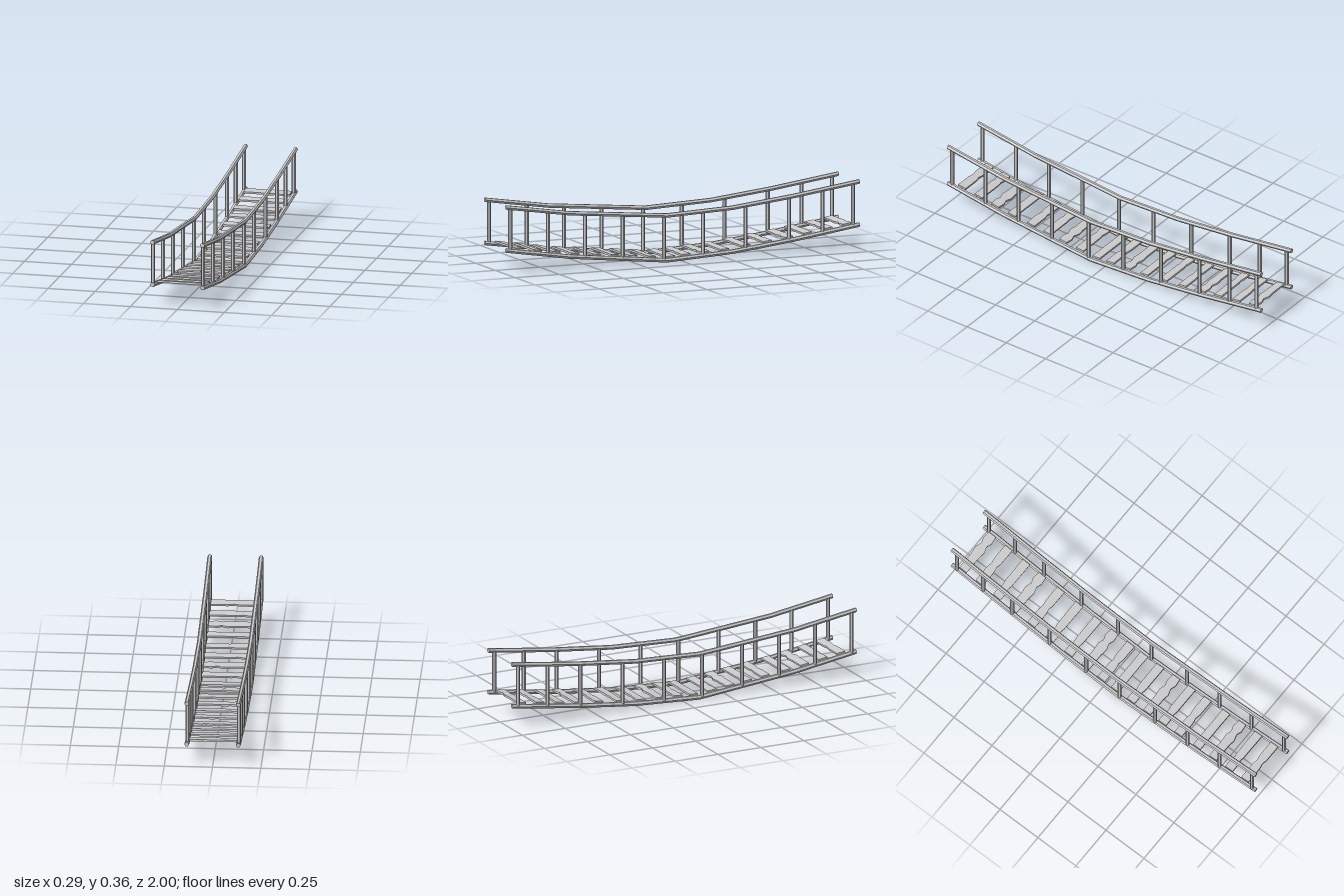
import * as THREE from 'three';

const material = new THREE.MeshStandardMaterial({ color: 0xcccccc, flatShading: true });

// Sagging rail lines as [z, y], from back to front
const LOWER = [[-1, 0.125], [-0.62, 0.071], [-0.28, 0.032], [0.09, 0.012], [0.64, 0.069], [1, 0.125]];
const UPPER = [[-1, 0.351], [-0.62, 0.299], [-0.28, 0.262], [0.09, 0.247], [0.64, 0.296], [1, 0.351]];
const RAIL_X = 0.133;

// Height and slope of a rail line at a given z
function sample(line, z) {
  let i = 0;
  while (i < line.length - 2 && z > line[i + 1][0]) i++;
  const [z0, y0] = line[i], [z1, y1] = line[i + 1];
  const slope = (y1 - y0) / (z1 - z0);
  return { y: y0 + slope * (z - z0), slope };
}

// Six-sided beam whose rings are moved onto the rail line
function railGeometry(line) {
  const n = line.length - 1;
  const geo = new THREE.CylinderGeometry(0.0125, 0.0125, 2, 6, n);
  geo.rotateY(Math.PI / 6).rotateX(Math.PI / 2);
  const p = geo.attributes.position;
  for (let i = 0; i < p.count; i++) {
    const [z, y] = line[Math.round((p.getZ(i) + 1) / 2 * n)];
    p.setY(i, p.getY(i) + y);
    p.setZ(i, z);
  }
  geo.computeVertexNormals();
  return geo;
}

// Half-width outlines along x for the worn planks
const PLANK_EDGES = {
  centreNotch: [[-0.123, 0.024], [-0.035, 0.024], [-0.018, 0.022], [0, 0.018], [0.018, 0.022], [0.035, 0.024], [0.123, 0.024]],
  sideNotch: [[-0.123, 0.024], [-0.02, 0.024], [0.02, 0.029], [0.052, 0.018], [0.08, 0.028], [0.123, 0.023]],
  leftNotch: [[-0.123, 0.025], [-0.075, 0.024], [-0.05, 0.019], [-0.03, 0.023], [0.123, 0.024]],
  plain: [[-0.123, 0.024], [0.05, 0.023], [0.123, 0.024]],
};

function plankGeometry(edge) {
  const front = edge.map(([x, w]) => new THREE.Vector2(x, -w));
  const back = edge.map(([x, w]) => new THREE.Vector2(x, w)).reverse();
  const geo = new THREE.ExtrudeGeometry(new THREE.Shape([...front, ...back]), { depth: 0.01, bevelEnabled: false });
  return geo.translate(0, 0, -0.005).rotateX(-Math.PI / 2);
}

const PLANKS = [
  [-0.937, 'sideNotch'], [-0.83, 'centreNotch'], [-0.714, 'leftNotch'], [-0.608, 'sideNotch'],
  [-0.487, 'centreNotch'], [-0.365, 'leftNotch'], [-0.243, 'leftNotch'], [-0.132, 'sideNotch'],
  [-0.026, 'centreNotch'], [0.063, 'plain'], [0.169, 'leftNotch'], [0.275, 'sideNotch'],
  [0.376, 'leftNotch'], [0.481, 'centreNotch'], [0.603, 'plain'], [0.709, 'sideNotch'],
  [0.815, 'leftNotch'], [0.92, 'centreNotch'],
];
const POST_Z = [0.975, 0.762, 0.552, 0.338, 0.104, -0.116, -0.357, -0.603, -0.794, -0.966];

export function createModel() {
  const bridge = new THREE.Group();
  bridge.name = 'hangingBridge';
  const add = (geo, name, x = 0, y = 0, z = 0) => {
    const mesh = new THREE.Mesh(geo, material);
    mesh.name = name;
    mesh.position.set(x, y, z);
    bridge.add(mesh);
    return mesh;
  };

  const lowerGeo = railGeometry(LOWER);
  const upperGeo = railGeometry(UPPER);
  for (const [side, s] of [['left', 1], ['right', -1]]) {
    // Floor beam and handrail
    add(lowerGeo, side + 'FloorBeam', s * RAIL_X);
    add(upperGeo, side + 'Handrail', s * RAIL_X);

    // Posts between them
    for (const z of POST_Z) {
      const bottom = sample(LOWER, z).y, top = sample(UPPER, z).y;
      const geo = new THREE.CylinderGeometry(0.0107, 0.0107, top - bottom, 6);
      geo.rotateY(Math.PI / 6);
      add(geo, side + 'Post', s * RAIL_X - 0.0017, (top + bottom) / 2, z);
    }
  }

  // Floor planks lying along the slope of the beams
  const plankGeos = {};
  for (const key in PLANK_EDGES) plankGeos[key] = plankGeometry(PLANK_EDGES[key]);
  for (const [z, kind] of PLANKS) {
    const { y, slope } = sample(LOWER, z);
    add(plankGeos[kind], 'plank', 0, y + 0.013, z).rotation.x = -Math.atan(slope);
  }
  return bridge;
}
